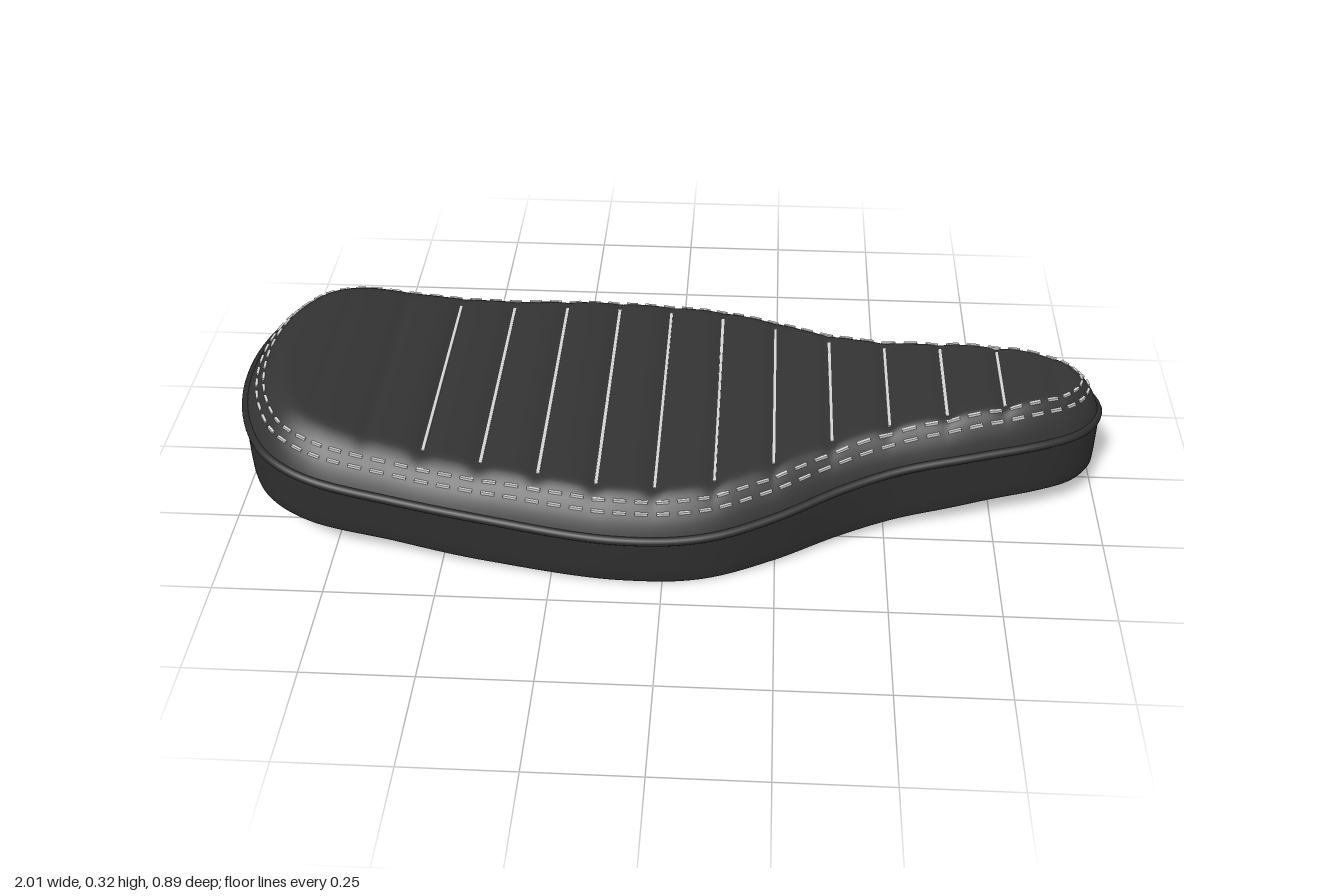
import * as THREE from 'three';
import { mergeGeometries, mergeVertices } from 'three/addons/utils/BufferGeometryUtils.js';

const N = 480; // stations around the outline
const PITCH = 0.13; // spacing of the cross stitches

const vinyl = new THREE.MeshStandardMaterial({ color: 0x343434 });
vinyl.name = 'cushion vinyl';
const sideVinyl = new THREE.MeshStandardMaterial({ color: 0x2e2e2e });
sideVinyl.name = 'side vinyl';
const baseBlack = new THREE.MeshStandardMaterial({ color: 0x222222 });
baseBlack.name = 'base black';
const thread = new THREE.MeshStandardMaterial({ color: 0xd6d6d6 });
thread.name = 'pale thread';

// Smooth interpolation through [x, y] pairs
function smooth(table) {
  const slope = table.map((p, i) => {
    const a = table[Math.max(0, i - 1)], b = table[Math.min(table.length - 1, i + 1)];
    return (b[1] - a[1]) / (b[0] - a[0]);
  });
  return (x) => {
    let i = 0;
    while (i < table.length - 2 && x > table[i + 1][0]) i++;
    const [x0, y0] = table[i], [x1, y1] = table[i + 1], h = x1 - x0;
    const t = THREE.MathUtils.clamp((x - x0) / h, 0, 1), s = 1 - t;
    return y0 * s * s * (1 + 2 * t) + y1 * t * t * (1 + 2 * s)
      + h * t * s * (slope[i] * s - slope[i + 1] * t);
  };
}

// Heights along the seat: underside, piping seam and cushion crown
const bottomY = smooth([[-1, 0.09], [-0.85, 0.085], [-0.65, 0.06], [-0.4, 0.024], [0, 0.003],
  [0.1, 0.003], [0.4, 0.02], [0.6, 0.042], [0.78, 0.064], [1, 0.068]]);
const seamY = smooth([[-1, 0.242], [-0.8, 0.208], [-0.6, 0.174], [-0.3, 0.14], [0, 0.124],
  [0.2, 0.134], [0.4, 0.16], [0.6, 0.186], [0.8, 0.202], [1, 0.208]]);
const crownY = smooth([[-1, 0.33], [-0.9, 0.325], [-0.8, 0.311], [-0.7, 0.288], [-0.5, 0.25],
  [-0.3, 0.234], [0, 0.216], [0.3, 0.237], [0.5, 0.262], [0.7, 0.287], [0.85, 0.297], [1, 0.288]]);
// How far in from the edge the cushion shoulder reaches
const shoulder = smooth([[-1, 0.11], [-0.8, 0.11], [-0.3, 0.09], [0.3, 0.085], [0.7, 0.065], [1, 0.06]]);
const shoulderRise = smooth([[0, 0], [0.06, 0.14], [0.2, 0.4], [0.39, 0.64], [0.56, 0.81], [0.8, 0.96], [1, 1]]);

// Plan outline, mirrored about z = 0
const half = [[-0.99, 0.11], [-0.96, 0.21], [-0.9, 0.305], [-0.8, 0.365], [-0.6, 0.392], [-0.4, 0.414],
  [-0.1, 0.444], [0.1, 0.423], [0.25, 0.362], [0.4, 0.28], [0.52, 0.232], [0.7, 0.192],
  [0.85, 0.152], [0.94, 0.108], [0.985, 0.055]];
const outline = new THREE.CatmullRomCurve3([
  [-1, 0], ...half, [1, 0], ...half.slice().reverse().map(([x, z]) => [x, -z]),
].map(([x, z]) => new THREE.Vector3(x, 0, z)), true);
outline.arcLengthDivisions = 2000;

const stations = [];
for (let i = 0; i <= N / 2; i++) {
  const end = i === 0 || i === N / 2;
  const p = outline.getPointAt(i / N), t = outline.getTangentAt(i / N);
  stations.push(end
    ? { x: i ? 1 : -1, z: 0, nx: i ? 1 : -1, nz: 0 }
    : { x: p.x, z: p.z, nx: -t.z, nz: t.x });
}

// Point on the outline at station i, moved inward by d
function inset(i, d) {
  i = ((i % N) + N) % N;
  const mirror = i > N / 2 ? -1 : 1;
  const s = stations[mirror < 0 ? N - i : i];
  return new THREE.Vector3(s.x - s.nx * d, 0, mirror * Math.max(0, s.z - s.nz * d));
}

// Crown height with shallow pleats between the stitch lines
function pleatedY(x, amount = 1) {
  const dip = (1 - Math.abs(Math.sin(Math.PI * (x + 0.54) / PITCH))) ** 2;
  const fade = THREE.MathUtils.smoothstep(x, -0.88, -0.5) * (1 - THREE.MathUtils.smoothstep(x, 0.84, 0.92));
  return crownY(x) - 0.013 * dip * fade * amount;
}

// Point on the cushion shoulder, t = 0 at the seam and 1 at the crown
function shoulderPoint(i, t) {
  const j = ((i % N) + N) % N;
  const k = shoulder(stations[j > N / 2 ? N - j : j].x);
  const p = inset(i, 0.006 + t * k);
  p.y = THREE.MathUtils.lerp(seamY(p.x), pleatedY(p.x, t * t), shoulderRise(t));
  return p;
}

// Surface over a grid; faces point along du x dv
function sheet(nu, nv, point) {
  const pos = [], index = [];
  for (let i = 0; i <= nu; i++) for (let j = 0; j <= nv; j++) pos.push(...point(i, j).toArray());
  for (let i = 0; i < nu; i++) for (let j = 0; j < nv; j++) {
    const a = i * (nv + 1) + j, b = a + nv + 1;
    index.push(a, b, b + 1, a, b + 1, a + 1);
  }
  const g = new THREE.BufferGeometry();
  g.setAttribute('position', new THREE.Float32BufferAttribute(pos, 3));
  g.setIndex(index);
  return g;
}

function weld(...parts) {
  const g = mergeVertices(mergeGeometries(parts), 1e-5);
  g.computeVertexNormals();
  return g;
}

// Thin thread bar between two points
function bar(a, b, width, height) {
  const g = new THREE.BoxGeometry(width, height, a.distanceTo(b));
  const m = new THREE.Object3D();
  m.position.copy(a).add(b).multiplyScalar(0.5);
  m.lookAt(b);
  m.updateMatrix();
  return g.applyMatrix4(m.matrix);
}

export function createModel() {
  const seat = new THREE.Group();
  seat.name = 'seat';
  const add = (name, geometry, material) => {
    const mesh = new THREE.Mesh(geometry, material);
    mesh.name = name;
    seat.add(mesh);
  };

  // Cushion: rounded shoulder all around plus the pleated top
  const RINGS = 12;
  const rim = sheet(N, RINGS, (i, j) => shoulderPoint(i, j / RINGS));
  const top = sheet(N / 2, 8, (i, j) => {
    const p = shoulderPoint(i, 1);
    p.z *= 1 - j / 4;
    return p;
  });
  add('cushion', weld(rim, top), vinyl);

  // Side wall with a small rounded lower edge
  const wall = [[0.018, 0], [0.009, 0.003], [0.004, 0.012], [0.003, 0.3], [0.003, 0.7], [0.004, 1]];
  add('sideWall', weld(sheet(N, wall.length - 1, (i, j) => {
    const [d, h] = wall[j], p = inset(i, d);
    const low = bottomY(p.x), high = seamY(p.x);
    p.y = j < 3 ? low + h : THREE.MathUtils.lerp(low, high, h);
    return p;
  })), sideVinyl);

  // Underside
  add('underside', weld(sheet(N / 2, 4, (i, j) => {
    const p = inset(i, 0.018);
    p.y = bottomY(p.x);
    p.z *= j / 2 - 1;
    return p;
  })), baseBlack);

  // Piping along the seam
  const path = [];
  for (let i = 0; i < N; i += 4) {
    const p = inset(i, 0.008);
    p.y = seamY(p.x);
    path.push(p);
  }
  add('piping', new THREE.TubeGeometry(new THREE.CatmullRomCurve3(path, true), 240, 0.011, 10, true), sideVinyl);

  // Two dashed rows of edge stitching
  [0.036, 0.054].forEach((d, row) => {
    const dashes = [];
    for (let i = 0; i < N; i += 5) {
      const at = (n) => {
        const m = n % N, x = stations[m > N / 2 ? N - m : m].x;
        const p = shoulderPoint(n, (d - 0.006) / shoulder(x));
        p.y += 0.001;
        return p;
      };
      dashes.push(bar(at(i), at(i + 3.0), 0.006, 0.006));
    }
    add(row ? 'innerEdgeStitching' : 'outerEdgeStitching', mergeGeometries(dashes), thread);
  });

  // Cross stitches in the pleat valleys
  const lines = [];
  for (let n = 0; n < 11; n++) {
    const x = -0.54 + n * PITCH;
    let z = 0;
    for (let i = 0, best = 1; i <= N / 2; i++) {
      const p = shoulderPoint(i, 1), gap = Math.abs(p.x - x);
      if (gap < best) { best = gap; z = p.z; }
    }
    const y = pleatedY(x) + 0.002;
    lines.push(bar(new THREE.Vector3(x, y, -z), new THREE.Vector3(x, y, z), 0.007, 0.005));
  }
  add('crossStitching', mergeGeometries(lines), thread);

  return seat;
}
